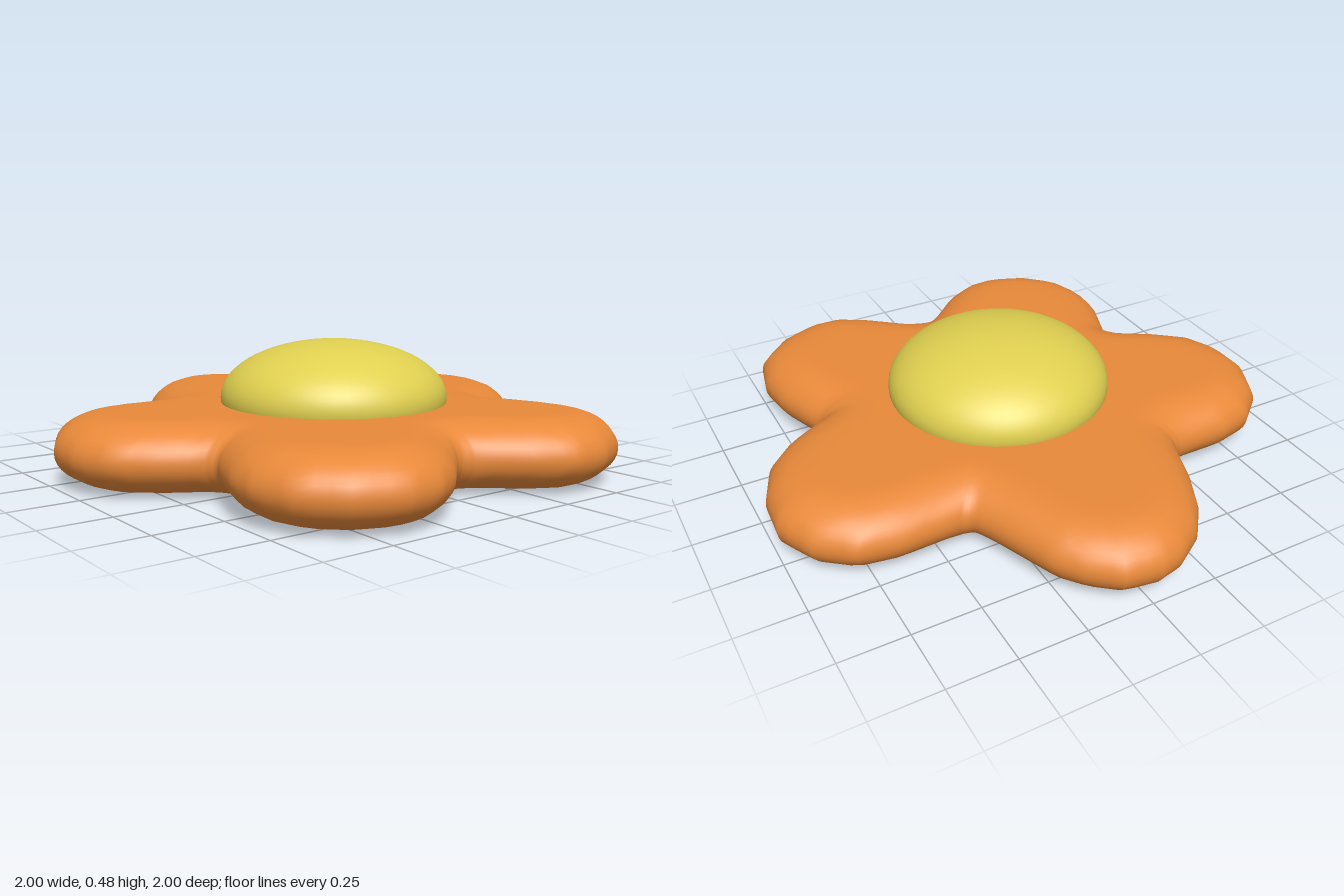
import * as THREE from 'three';

// Petal outline seen from above, as x, z pairs
const OUTLINE = [
  -0.03, -1, 0.1, -0.98, 0.2, -0.9, 0.27, -0.81, 0.32, -0.68, 0.37, -0.55, 0.4, -0.49,
  0.44, -0.48, 0.66, -0.49, 0.81, -0.465, 0.93, -0.37, 1, -0.23, 0.99, -0.07, 0.93, 0.08, 0.83, 0.18, 0.7, 0.255,
  0.66, 0.275, 0.655, 0.31, 0.69, 0.38, 0.74, 0.52, 0.76, 0.66, 0.73, 0.8, 0.62, 0.91, 0.47, 0.975, 0.33, 0.97, 0.21, 0.9,
  0.06, 0.775, 0.01, 0.76, -0.03, 0.775, -0.18, 0.92, -0.3, 0.985, -0.43, 0.995, -0.59, 0.93, -0.71, 0.81, -0.755, 0.66,
  -0.745, 0.53, -0.69, 0.38, -0.665, 0.32, -0.69, 0.28, -0.82, 0.2, -0.94, 0.1, -1, -0.04, -1, -0.2, -0.93, -0.35,
  -0.82, -0.445, -0.69, -0.475, -0.48, -0.475, -0.44, -0.5, -0.38, -0.67, -0.31, -0.81, -0.23, -0.91, -0.12, -0.98,
];
const CENTRE = new THREE.Vector2(0, 0.075);
const HALF = 0.125; // half the petal thickness
const ROUND = 0.2; // width of the rounded rim

// Pillow-shaped body: thickness grows with distance from the outline
function petalGeometry() {
  const corners = [];
  for (let i = 0; i < OUTLINE.length; i += 2) corners.push(new THREE.Vector2(OUTLINE[i], OUTLINE[i + 1]));
  const edges = corners.map((a, i) => [a, corners[(i + 1) % corners.length]]);
  const rim = edges.flatMap(([a, b]) => [0, 1 / 3, 2 / 3].map((t) => a.clone().lerp(b, t)));

  const distance = (p) => Math.min(...edges.map(([a, b]) => {
    const ab = b.clone().sub(a);
    const t = THREE.MathUtils.clamp(p.clone().sub(a).dot(ab) / ab.lengthSq(), 0, 1);
    return p.distanceTo(ab.multiplyScalar(t).add(a));
  }));
  const height = (d) => HALF * Math.sqrt(1 - Math.max(0, 1 - d / ROUND) ** 2.2);

  // Rings run from the top centre out to the rim and back to the bottom centre
  const steps = 20;
  const n = rim.length;
  const positions = [];
  const indices = [];
  for (let r = 0; r <= 2 * steps; r++) {
    const s = 1 - Math.abs(r - steps) / steps;
    const t = 1 - (1 - s) ** 2; // denser towards the rim
    const side = r <= steps ? 1 : -1;
    for (let i = 0; i < n; i++) {
      const p = CENTRE.clone().lerp(rim[i], t);
      const h = r === steps ? 0 : height(distance(p));
      positions.push(p.x, HALF + side * h, p.y);
      if (r === 2 * steps) continue;
      const a = r * n + i;
      const b = r * n + (i + 1) % n;
      indices.push(a, b + n, a + n, a, b, b + n);
    }
  }
  const geometry = new THREE.BufferGeometry();
  geometry.setAttribute('position', new THREE.Float32BufferAttribute(positions, 3));
  geometry.setIndex(indices);
  geometry.computeVertexNormals();
  return geometry;
}

export function createModel() {
  const flower = new THREE.Group();
  flower.name = 'flower';

  const petals = new THREE.Mesh(petalGeometry(), new THREE.MeshStandardMaterial({ color: 0xe8893a }));
  petals.name = 'petals';

  // Domed middle
  const middle = new THREE.Mesh(
    new THREE.SphereGeometry(0.424, 48, 32),
    new THREE.MeshStandardMaterial({ color: 0xe0d050 }),
  );
  middle.name = 'flowerCentre';
  middle.scale.y = 0.5;
  middle.position.set(0, 0.268, CENTRE.y);

  flower.add(petals, middle);
  return flower;
}
